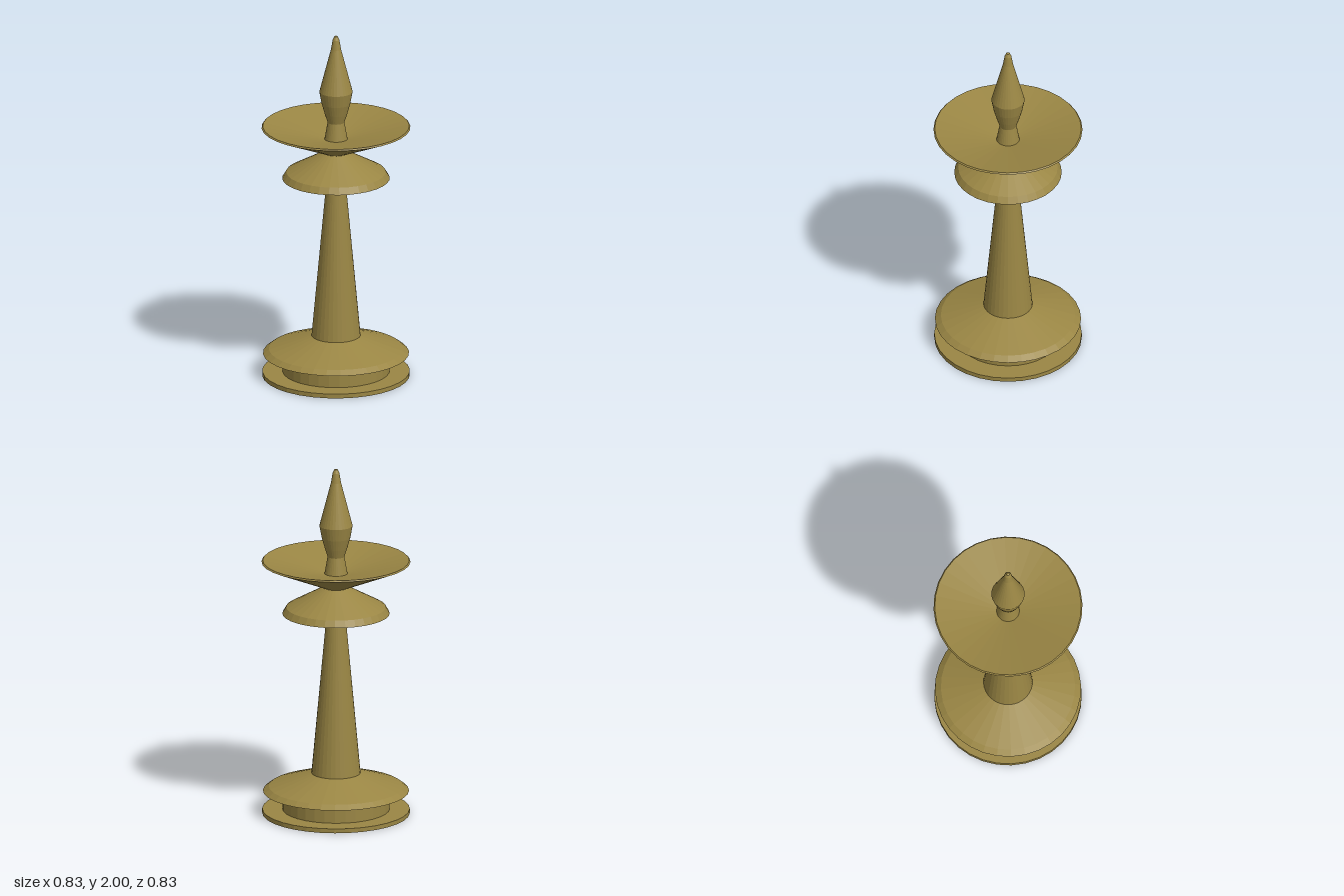
import * as THREE from 'three';

const SIDES = 32;

export function createModel() {
  const model = new THREE.Group();
  model.name = 'candlestick';

  const brass = new THREE.MeshStandardMaterial({
    color: 0x9a8644,
    flatShading: true,
    side: THREE.DoubleSide,
  });

  // Turns a profile of [radius, height] pairs, listed from the bottom up
  function turned(name, profile) {
    const points = profile.map(([r, y]) => new THREE.Vector2(r, y));
    const mesh = new THREE.Mesh(new THREE.LatheGeometry(points, SIDES), brass);
    mesh.name = name;
    model.add(mesh);
  }

  // Flat foot ring, open in the middle
  turned('footRing', [[0.3, 0], [0.412, 0], [0.412, 0.025], [0.3, 0.025]]);

  // Recessed drum, hollow below
  turned('drum', [[0.3, 0.025], [0.3, 0.13]]);

  // Sloping cap over the drum
  turned('baseCap', [[0.3, 0.13], [0.408, 0.13], [0.375, 0.155], [0.137, 0.235]]);

  // Tapered column
  turned('column', [[0.137, 0.235], [0.052, 1.16]]);

  // Small bell-shaped collar on the column
  turned('collar', [[0.052, 1.16], [0.3, 1.16], [0.278, 1.197], [0.07, 1.312]]);

  // Wide drip dish with a hollow top
  turned('dish', [[0.07, 1.312], [0.416, 1.46], [0.409, 1.468], [0.064, 1.392]]);

  // Flared neck below the flame
  turned('neck', [[0.064, 1.392], [0.047, 1.49]]);

  // Flame with a rounded tip
  turned('flame', [
    [0.047, 1.49], [0.063, 1.54], [0.08, 1.6], [0.093, 1.67],
    [0.028, 1.92], [0.019, 1.975], [0.01, 1.995], [0, 2],
  ]);

  return model;
}
